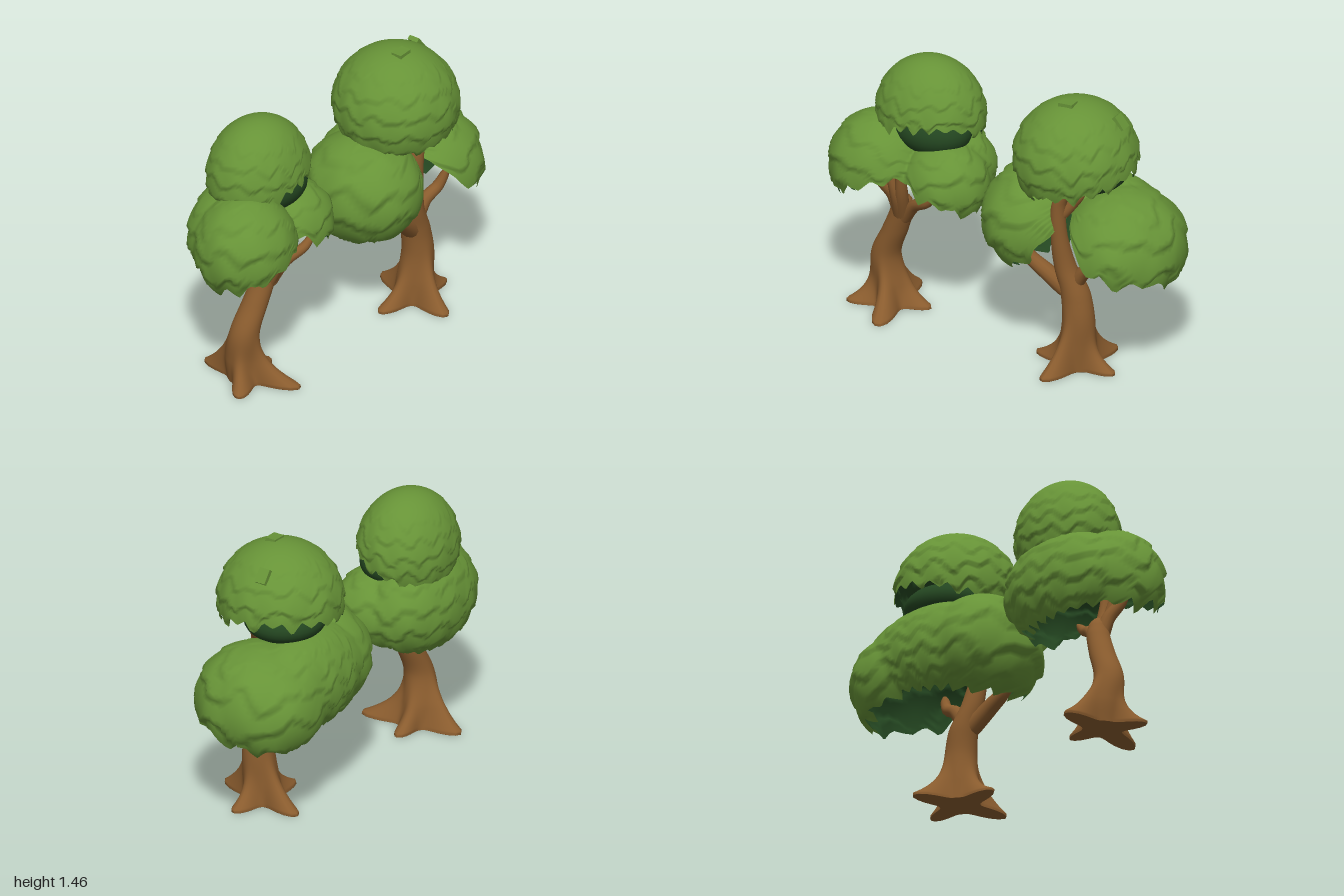
import * as THREE from 'three';

const leafMat = new THREE.MeshStandardMaterial({ color: 0x679337 });
const shadeMat = new THREE.MeshStandardMaterial({ color: 0x234520 });
const barkMat = new THREE.MeshStandardMaterial({ color: 0x8a5c2e });
leafMat.name = 'leafGreen';
shadeMat.name = 'deepGreen';
barkMat.name = 'barkBrown';

const fract = (v) => v - Math.floor(v);
const hash = (k, seed) => fract(Math.sin(k * 12.9 + seed * 78.2) * 43758.5);

// Ring of uneven triangular teeth, 0..1, around the full turn
function tooth(angle, count, seed) {
  const t = fract(angle / (2 * Math.PI)) * count;
  const k = Math.floor(t) % count;
  return (0.3 + 0.7 * hash(k, seed)) * (1 - Math.abs(2 * fract(t) - 1));
}

// Far hit of a ray with an ellipsoid [x, y, z, rx, ry, rz]
function reach(c, d, [x, y, z, rx, ry, rz]) {
  const p = [(c[0] - x) / rx, (c[1] - y) / ry, (c[2] - z) / rz];
  const q = [d[0] / rx, d[1] / ry, d[2] / rz];
  const dot = (u, v) => u[0] * v[0] + u[1] * v[1] + u[2] * v[2];
  const A = dot(q, q), B = dot(p, q), disc = B * B - A * (dot(p, p) - 1);
  return disc < 0 ? 0 : (-B + Math.sqrt(disc)) / A;
}

function surface(name, pos, index, mat) {
  const g = new THREE.BufferGeometry();
  g.setAttribute('position', new THREE.Float32BufferAttribute(pos, 3));
  g.setIndex(index);
  g.computeVertexNormals();
  const mesh = new THREE.Mesh(g, mat);
  mesh.name = name;
  return mesh;
}

// Triangles of a closed ring grid; flip turns them round
function ringIndex(rows, cols, flip) {
  const index = [];
  for (let i = 0; i < rows; i++) {
    for (let j = 0; j < cols; j++) {
      const p = i * cols + j, q = i * cols + ((j + 1) % cols), s = p + cols, t = q + cols;
      if (flip) index.push(p, t, q, p, s, t);
      else index.push(p, q, t, p, t, s);
    }
  }
  return index;
}

// Leaf shell around merged lobes, with shingled tufts, a ragged rim and a dark lining.
// rim: polar angles at the raised and the low side; raisedAt: azimuth of the raised side;
// notch: [depth, width] of the gap at the front
function leafShell(name, { c, lobes, rim, raisedAt, notch = [0, 1], seed }) {
  const rows = 46, cols = 132, outer = [], inner = [];
  for (let i = 0; i <= rows; i++) {
    for (let j = 0; j < cols; j++) {
      const v = i / rows, a = (j / cols) * 2 * Math.PI;
      let end = (rim[0] + rim[1]) / 2 - ((rim[1] - rim[0]) / 2) * Math.cos(a - raisedAt);
      end -= notch[0] * Math.exp(-(((a - Math.PI / 2) / notch[1]) ** 2));
      const phi = v * end + 0.24 * (tooth(a, 20, seed) - 0.4) * v ** 6;
      const d = [Math.sin(phi) * Math.cos(a), Math.cos(phi), Math.sin(phi) * Math.sin(a)];
      let r = 0.05;
      for (const lobe of lobes) r = Math.max(r, reach(c, d, lobe));
      const wave = tooth(a + phi * 0.35, 13, seed + 3) + 0.8 * tooth(a - phi * 0.5, 9, seed + 7);
      const saw = fract(phi * 3 - 0.7 * wave);
      r *= 1 + THREE.MathUtils.smoothstep(phi, 0.4, 1.6) * (0.05 * saw - 0.025);
      // The lining sits just inside and meets the leaves at the rim
      const lining = r * (1 - 0.025 * (1 - v ** 8));
      outer.push(...d.map((n, k) => c[k] + n * r));
      inner.push(...d.map((n, k) => c[k] + n * lining));
    }
  }
  const group = new THREE.Group();
  group.name = name;
  group.add(surface('outerLeaves', outer, ringIndex(rows, cols, false), leafMat));
  group.add(surface('innerLeaves', inner, ringIndex(rows, cols, true), shadeMat));
  return group;
}

// Trunk lofted from level rings along points [x, y, z, radius],
// flaring into roots [tip x, tip z, steepness]
function trunkMesh(pts, roots) {
  const rows = 54, cols = 64, pos = [];
  const curve = new THREE.CatmullRomCurve3(pts.map((p) => new THREE.Vector3(p[0], p[1], p[2])));
  const [bx, , bz] = pts[0];
  for (let i = -1; i <= rows; i++) {
    const t = Math.max(0, i / rows) ** 1.6;
    const p = curve.getPoint(t), u = t * (pts.length - 1);
    const k = Math.min(Math.floor(u), pts.length - 2);
    const r = THREE.MathUtils.lerp(pts[k][3], pts[k + 1][3], u - k) * Math.sqrt(Math.min(1, (1 - t) * 12));
    for (let j = 0; j < cols; j++) {
      const a = (j / cols) * 2 * Math.PI;
      let w = r;
      for (const [x, z, steep] of roots) {
        const turn = a - Math.atan2(z - bz, x - bx);
        const off = Math.atan2(Math.sin(turn), Math.cos(turn));
        const flare = Math.max(0, 1 - Math.max(0, p.y - 0.015) / 0.42) ** steep;
        w += (Math.hypot(x - bx, z - bz) - r) * flare * Math.exp(-((off / 0.33) ** 2));
      }
      // The first ring closes the underside at its centre
      if (i === -1) w = 0;
      pos.push(p.x + w * Math.cos(a), p.y, p.z + w * Math.sin(a));
    }
  }
  return surface('trunk', pos, ringIndex(rows + 1, cols, true), barkMat);
}

// Tapered branch through points [x, y, z, radius], rounded at both ends
function branchMesh(pts) {
  const curve = new THREE.CatmullRomCurve3(pts.map((p) => new THREE.Vector3(p[0], p[1], p[2])));
  const steps = 28, sides = 12;
  const g = new THREE.TubeGeometry(curve, steps, 1, sides);
  const pos = g.attributes.position, v = new THREE.Vector3();
  for (let i = 0; i <= steps; i++) {
    const t = i / steps, centre = curve.getPointAt(t);
    const u = curve.getUtoTmapping(t) * (pts.length - 1);
    const k = Math.min(Math.floor(u), pts.length - 2);
    const r = THREE.MathUtils.lerp(pts[k][3], pts[k + 1][3], u - k) * Math.sqrt(Math.min(1, (1 - t) * 8, t * 8));
    for (let j = 0; j <= sides; j++) {
      const n = i * (sides + 1) + j;
      v.fromBufferAttribute(pos, n).sub(centre).multiplyScalar(r).add(centre);
      pos.setXYZ(n, v.x, v.y, v.z);
    }
  }
  const mesh = new THREE.Mesh(g, barkMat);
  mesh.name = 'branch';
  return mesh;
}

// Dark leaf core under the top crown
function core([x, y, z, rx, ry, rz]) {
  const mesh = new THREE.Mesh(new THREE.SphereGeometry(1, 32, 16), shadeMat);
  mesh.name = 'leafCore';
  mesh.position.set(x, y, z);
  mesh.scale.set(rx, ry, rz);
  return mesh;
}

function tree(name, { trunk, roots, branches, lower, top, plug }) {
  const group = new THREE.Group();
  group.name = name;
  group.add(trunkMesh(trunk, roots), ...branches.map(branchMesh));
  group.add(leafShell('lowerCrown', lower), leafShell('topCrown', top), core(plug));
  return group;
}

export function createModel() {
  const model = new THREE.Group();
  model.name = 'twoTrees';
  const front = Math.PI / 2;

  model.add(tree('smallTree', {
    trunk: [[-0.68, 0, -0.03, 0.1], [-0.7, 0.12, -0.04, 0.092], [-0.715, 0.28, -0.02, 0.077],
      [-0.65, 0.44, 0, 0.068], [-0.6, 0.57, 0.02, 0.06], [-0.58, 0.68, 0.04, 0.035]],
    roots: [[-0.89, 0.08, 6], [-0.61, 0.26, 4.5], [-0.47, -0.05, 6], [-0.68, -0.3, 4]],
    branches: [
      [[-0.6, 0.5, 0.02, 0.04], [-0.63, 0.66, 0.06, 0.035], [-0.68, 0.76, 0.11, 0.028], [-0.7, 0.86, 0.13, 0.02]],
      [[-0.6, 0.52, 0.03, 0.04], [-0.59, 0.68, 0.1, 0.032], [-0.62, 0.84, 0.13, 0.02]],
      [[-0.59, 0.52, 0.03, 0.04], [-0.56, 0.7, 0.1, 0.035], [-0.55, 0.86, 0.13, 0.022]],
      [[-0.6, 0.5, 0.02, 0.04], [-0.5, 0.63, 0.07, 0.032], [-0.4, 0.69, 0.12, 0.025], [-0.34, 0.75, 0.13, 0.016]],
    ],
    lower: {
      c: [-0.55, 0.8, -0.08], rim: [1.72, 2.42], raisedAt: front, notch: [0.16, 0.4], seed: 1,
      lobes: [[-0.73, 0.8, 0, 0.27, 0.28, 0.26], [-0.36, 0.78, 0, 0.23, 0.22, 0.21],
        [-0.54, 0.8, -0.15, 0.37, 0.28, 0.24]],
    },
    top: {
      c: [-0.5, 1.1, -0.1], rim: [1.58, 2.35], raisedAt: 1.1, seed: 5,
      lobes: [[-0.5, 1.1, -0.1, 0.29, 0.3, 0.25]],
    },
    plug: [-0.46, 1.03, -0.05, 0.21, 0.13, 0.17],
  }));

  model.add(tree('largeTree', {
    trunk: [[0.48, 0, 0.12, 0.1], [0.485, 0.12, 0.13, 0.094], [0.495, 0.28, 0.14, 0.083],
      [0.475, 0.42, 0.14, 0.076], [0.43, 0.56, 0.16, 0.058], [0.41, 0.75, 0.19, 0.042],
      [0.415, 0.92, 0.2, 0.038], [0.45, 1.0, 0.2, 0.035], [0.47, 1.1, 0.2, 0.025]],
    roots: [[0.42, 0.39, 3.5], [0.71, 0.15, 6], [0.56, -0.14, 4], [0.23, 0.1, 6]],
    branches: [
      [[0.47, 0.39, 0.14, 0.05], [0.34, 0.5, 0.17, 0.045], [0.23, 0.59, 0.19, 0.036], [0.2, 0.66, 0.2, 0.03], [0.18, 0.76, 0.2, 0.02]],
      [[0.46, 0.45, 0.14, 0.05], [0.54, 0.55, 0.15, 0.035], [0.62, 0.6, 0.17, 0.03], [0.67, 0.7, 0.2, 0.02]],
      [[0.41, 0.84, 0.19, 0.03], [0.48, 0.93, 0.17, 0.028], [0.52, 0.99, 0.16, 0.024], [0.52, 1.08, 0.13, 0.018]],
    ],
    lower: {
      c: [0.45, 0.75, -0.05], rim: [1.88, 2.5], raisedAt: 1.15, notch: [0.75, 0.26], seed: 9,
      lobes: [[0.2, 0.74, 0.02, 0.285, 0.29, 0.32], [0.68, 0.68, 0, 0.315, 0.3, 0.34],
        [0.45, 0.74, -0.11, 0.44, 0.27, 0.23]],
    },
    top: {
      c: [0.43, 1.14, 0.05], rim: [1.66, 2.12], raisedAt: -0.6, seed: 14,
      lobes: [[0.43, 1.14, 0.05, 0.32, 0.31, 0.325]],
    },
    plug: [0.46, 1.05, 0, 0.22, 0.11, 0.21],
  }));

  // Stray leaves on the tall crown
  for (const [x, y, z, tilt] of [[0.41, 1.445, 0.1, 0.05], [0.66, 1.36, 0, -0.9]]) {
    const leaf = new THREE.Mesh(new THREE.BoxGeometry(0.08, 0.025, 0.06), leafMat);
    leaf.name = 'strayLeaf';
    leaf.position.set(x, y, z);
    leaf.rotation.z = tilt;
    model.add(leaf);
  }
  return model;
}
